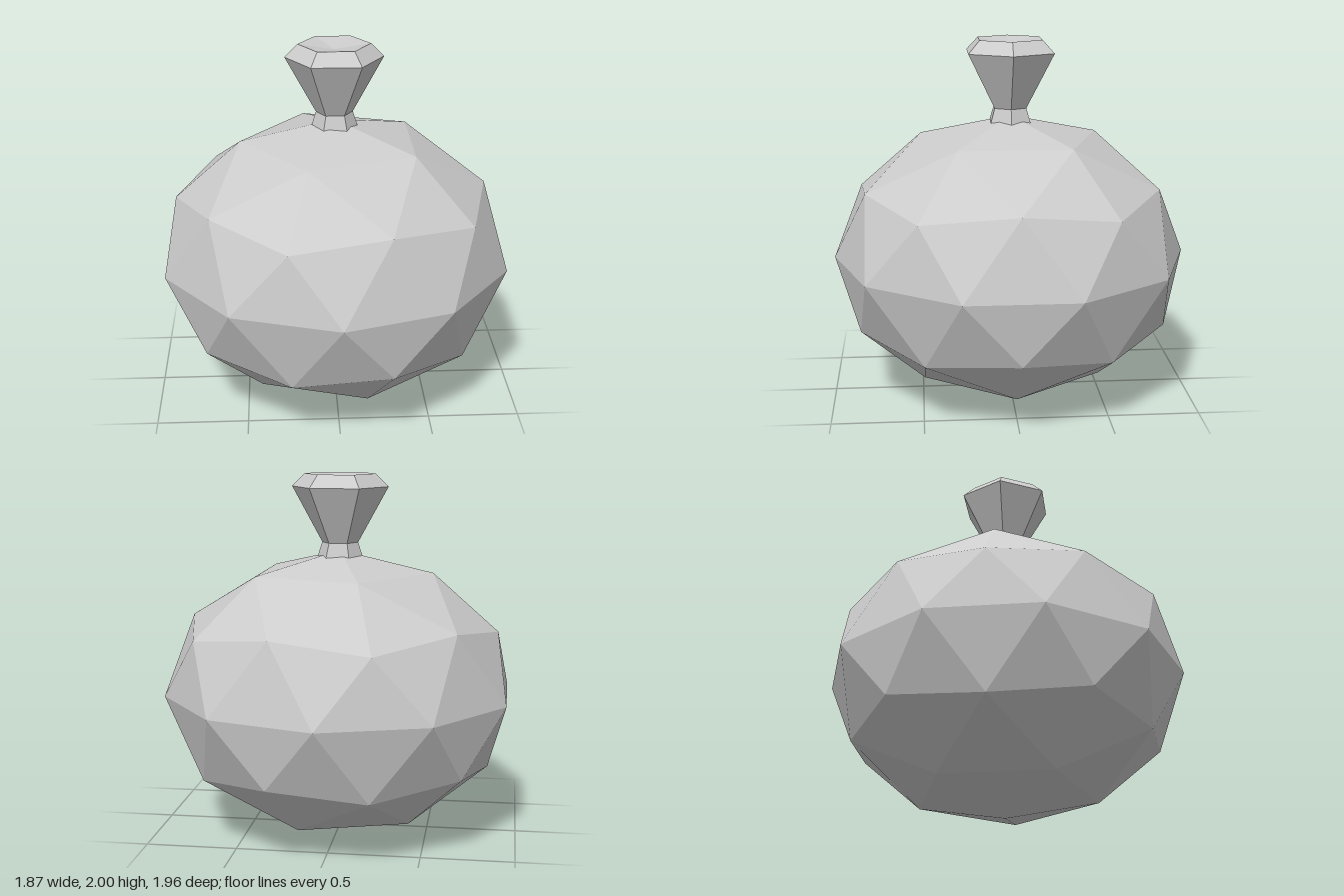
import * as THREE from 'three';

// Gives every triangle its own normal for the faceted look
function faceted(geometry) {
  const g = geometry.index ? geometry.toNonIndexed() : geometry;
  g.computeVertexNormals();
  return g;
}

export function createModel() {
  const group = new THREE.Group();
  group.name = 'stopperedFlask';
  const grey = new THREE.MeshStandardMaterial({ color: 0xcccccc });
  grey.name = 'light grey';

  const add = (name, geometry) => {
    const mesh = new THREE.Mesh(faceted(geometry), grey);
    mesh.name = name;
    group.add(mesh);
  };

  // Body: subdivided icosahedron turned to stand on a corner, flattened in height
  const golden = (1 + Math.sqrt(5)) / 2;
  const body = new THREE.IcosahedronGeometry(1, 1);
  body.rotateZ(Math.atan2(1, golden));
  body.scale(0.982, 0.79, 0.982);
  body.translate(0, 0.79, 0);
  add('body', body);

  // Stopper: six-sided flared neck, cup and bevelled rim with a shallow dished top
  const profile = [
    [0.14, 1.5], [0.1, 1.625], [0.267, 1.93], [0.196, 2], [0, 1.97],
  ].map(([r, y]) => new THREE.Vector2(r, y));
  add('stopper', new THREE.LatheGeometry(profile, 6, Math.PI / 2));

  return group;
}
